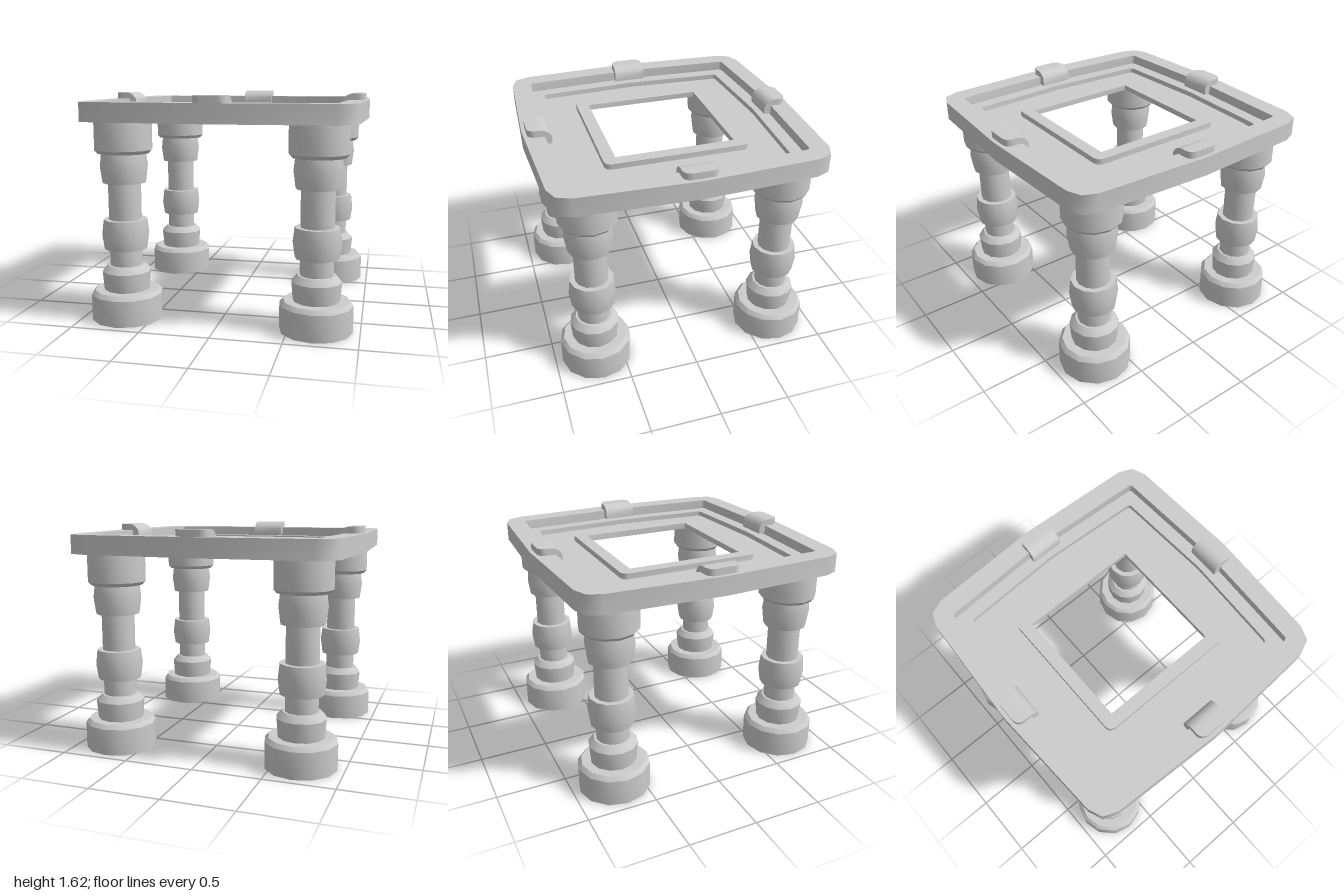
import * as THREE from 'three';
import { toCreasedNormals, mergeGeometries } from 'three/addons/utils/BufferGeometryUtils.js';

const material = new THREE.MeshStandardMaterial({ color: 0xcccccc });

function part(name, geometry) {
  const mesh = new THREE.Mesh(geometry, material);
  mesh.name = name;
  return mesh;
}

// Bowed square loop: corner reach, reach at mid-side, corner rounding, height
function squareLoop(corner, mid, round, y) {
  const c = corner, b = round, d = c - b * 0.29;
  let side = [[0, mid], [c - b, c], [d, d], [c, c - b]];
  const loop = [];
  for (let k = 0; k < 4; k++) {
    side.forEach(([x, z]) => loop.push([x, y, z]));
    side = side.map(([x, z]) => [z, -x]);
  }
  return loop;
}

// Closed ring skinned through loops, the last joining the first
function ringGeometry(loops, crease) {
  const n = loops[0].length, index = [];
  loops.forEach((_, i) => {
    const next = (i + 1) % loops.length;
    for (let j = 0; j < n; j++) {
      const k = (j + 1) % n;
      const a = i * n + j, b = i * n + k, c = next * n + j, d = next * n + k;
      index.push(a, b, d, a, d, c);
    }
  });
  const geometry = new THREE.BufferGeometry();
  geometry.setAttribute('position', new THREE.Float32BufferAttribute(loops.flat(2), 3));
  geometry.setIndex(index);
  return toCreasedNormals(geometry, crease);
}

// Turned leg, bottom to top: foot, collar, shaft with two bulges, cup
function legGeometry() {
  const profile = [
    [0, 0], [0.258, 0], [0.258, 0.19], [0.232, 0.22],
    [0.165, 0.22], [0.176, 0.355], [0.135, 0.4],
    [0.118, 0.4], [0.118, 0.52],
    [0.155, 0.52], [0.17, 0.625], [0.157, 0.735],
    [0.118, 0.735], [0.118, 1.0],
    [0.155, 1.0], [0.171, 1.12], [0.16, 1.21],
    [0.185, 1.21], [0.206, 1.235], [0.206, 1.44],
  ].map(([r, y]) => new THREE.Vector2(r, y));
  return toCreasedNormals(new THREE.LatheGeometry(profile, 12), 0.6);
}

// Clip on the +x side: rounded tab on the rim and a lip curling inward
function clipGeometry() {
  const w = 0.12, r = 0.055, out = 0.97;
  const tab = new THREE.Shape();
  tab.moveTo(0.89, -w);
  tab.lineTo(out - r, -w);
  tab.absarc(out - r, -w + r, r, -Math.PI / 2, 0);
  tab.absarc(out - r, w - r, r, 0, Math.PI / 2);
  tab.lineTo(0.89, w);
  const tabGeo = new THREE.ExtrudeGeometry(tab, { depth: 0.05, bevelEnabled: false, curveSegments: 5 });
  tabGeo.rotateX(-Math.PI / 2).translate(0, 1.573, 0);

  const lip = new THREE.Shape();
  lip.moveTo(0.89, 1.623);
  lip.quadraticCurveTo(0.83, 1.623, 0.803, 1.57);
  lip.lineTo(0.803, 1.515);
  lip.lineTo(0.855, 1.515);
  lip.lineTo(0.855, 1.573);
  lip.lineTo(0.89, 1.573);
  const lipGeo = new THREE.ExtrudeGeometry(lip, { depth: 2 * w, bevelEnabled: false, curveSegments: 6 });
  lipGeo.translate(0, 0, -w);
  return toCreasedNormals(mergeGeometries([tabGeo, lipGeo]), 0.6);
}

export function createModel() {
  const model = new THREE.Group();
  model.name = 'steppedTable';

  // Tray top: outer wall, rim, ledge, floor, central opening
  model.add(part('trayTop', ringGeometry([
    squareLoop(0.96, 1.0, 0.14, 1.44),
    squareLoop(0.96, 1.0, 0.14, 1.575),
    squareLoop(0.82, 0.86, 0.02, 1.575),
    squareLoop(0.82, 0.86, 0.02, 1.505),
    squareLoop(0.73, 0.765, 0.02, 1.505),
    squareLoop(0.73, 0.765, 0.02, 1.468),
    squareLoop(0.5, 0.5, 0.02, 1.468),
    squareLoop(0.5, 0.5, 0.02, 1.44),
  ], 0.9)));

  // Raised frame around the opening
  model.add(part('openingFrame', ringGeometry([
    squareLoop(0.52, 0.52, 0.045, 1.468),
    squareLoop(0.52, 0.52, 0.045, 1.508),
    squareLoop(0.43, 0.43, 0.002, 1.508),
    squareLoop(0.43, 0.43, 0.002, 1.468),
  ], 0.9)));

  // Four legs
  const legGeo = legGeometry();
  for (const [sx, xName] of [[1, 'Left'], [-1, 'Right']]) {
    for (const [sz, zName] of [[1, 'front'], [-1, 'back']]) {
      const leg = part(`${zName}${xName}Leg`, legGeo);
      leg.position.set(sx * 0.692, 0, sz * 0.692);
      model.add(leg);
    }
  }

  // One clip at the middle of each side
  const clipGeo = clipGeometry();
  ['left', 'back', 'right', 'front'].forEach((name, i) => {
    const clip = part(`${name}Clip`, clipGeo);
    clip.rotation.y = i * Math.PI / 2;
    model.add(clip);
  });

  return model;
}
